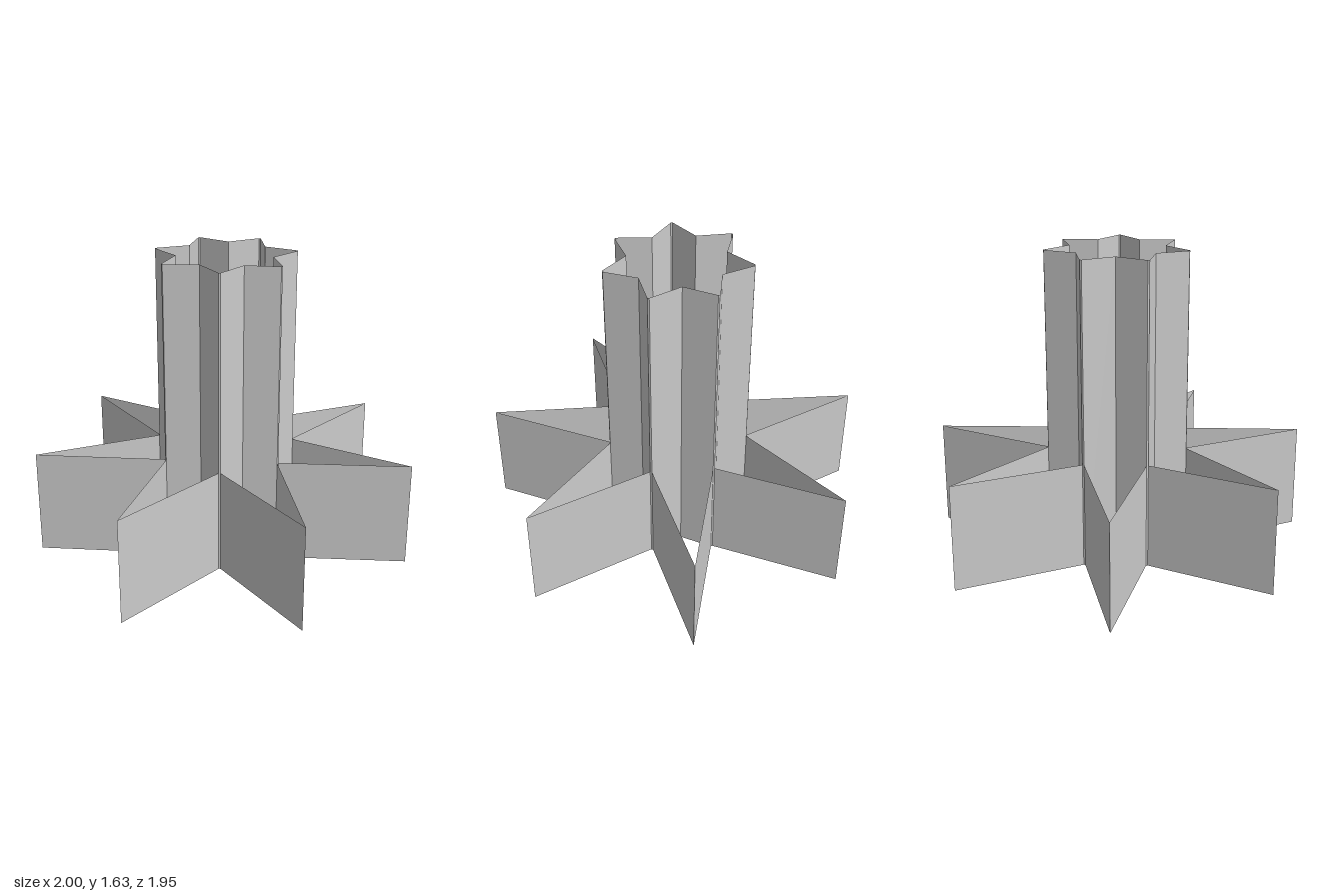
import * as THREE from 'three';

const POINTS = 7;
const STEP = (Math.PI * 2) / POINTS;
const CENTER_Z = -0.051;
const VALLEY = 0.256, RIM = 0.38, TIP = 1.026; // radii
const BLUNT = 0.013; // half angle of the narrow flat on each tube ridge

const material = new THREE.MeshStandardMaterial({
  color: 0xcccccc, flatShading: true, side: THREE.DoubleSide,
});

// Point on the plan, angle measured from the front
const polar = (r, a) => [r * Math.sin(a), CENTER_Z + r * Math.cos(a)];

// Upright sheet that follows a plan outline, without caps
function wall(name, outline, height) {
  const positions = [];
  for (let i = 0; i < outline.length - 1; i++) {
    const [ax, az] = outline[i];
    const [bx, bz] = outline[i + 1];
    positions.push(ax, 0, az, bx, 0, bz, bx, height, bz);
    positions.push(ax, 0, az, bx, height, bz, ax, height, az);
  }
  const geometry = new THREE.BufferGeometry();
  geometry.setAttribute('position', new THREE.Float32BufferAttribute(positions, 3));
  geometry.computeVertexNormals();
  const mesh = new THREE.Mesh(geometry, material);
  mesh.name = name;
  return mesh;
}

export function createModel() {
  const group = new THREE.Group();
  group.name = 'starTower';

  // Tall star-shaped tube, open at both ends
  const outline = [];
  for (let i = 0; i < POINTS; i++) {
    const a = i * STEP;
    outline.push(
      polar(VALLEY, a),
      polar(RIM, a + STEP / 2 - BLUNT),
      polar(RIM, a + STEP / 2 + BLUNT),
    );
  }
  outline.push(outline[0]);
  group.add(wall('tube', outline, 1.635));

  // Low pointed fins around the foot, one in front of each valley
  for (let i = 0; i < POINTS; i++) {
    const a = i * STEP;
    const half = STEP / 2 - BLUNT;
    const fin = [polar(RIM, a - half), polar(TIP, a), polar(RIM, a + half)];
    group.add(wall('fin' + (i + 1), fin, 0.57));
  }
  return group;
}
